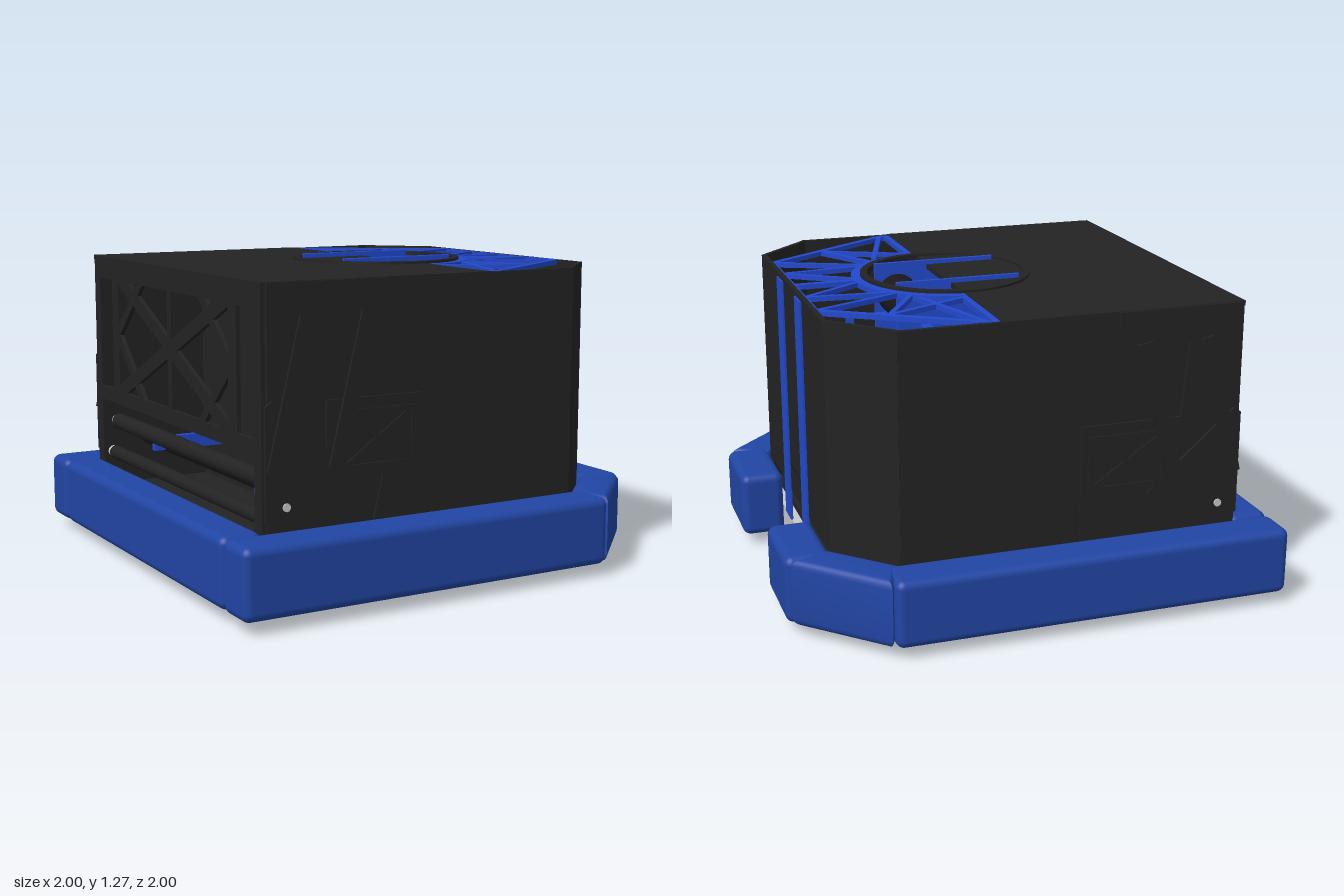
import * as THREE from 'three';
import { RoundedBoxGeometry } from 'three/addons/geometries/RoundedBoxGeometry.js';
import { toCreasedNormals } from 'three/addons/utils/BufferGeometryUtils.js';

export function createModel() {
  const model = new THREE.Group();
  const material = (name, color) => Object.assign(new THREE.MeshStandardMaterial({ color }), { name });
  const black = material('black panel', 0x232323);
  const dark = material('dark rubber', 0x191919);
  const blue = material('bright blue', 0x2249cc);
  const fabric = material('bumper blue', 0x2145a3);
  const silver = material('silver metal', 0xc8c8c8);

  function add(name, geometry, mat, x = 0, y = 0, z = 0, parent = model) {
    const mesh = new THREE.Mesh(geometry, mat);
    mesh.name = name;
    mesh.position.set(x, y, z);
    parent.add(mesh);
    return mesh;
  }
  // box given by its extents
  function box(name, mat, x0, x1, y0, y1, z0, z1, parent = model) {
    return add(name, new THREE.BoxGeometry(x1 - x0, y1 - y0, z1 - z0), mat,
      (x0 + x1) / 2, (y0 + y1) / 2, (z0 + z1) / 2, parent);
  }
  const polygon = (pts) => new THREE.Shape(pts.map(([x, y]) => new THREE.Vector2(x, y)));
  const extrude = (shape, depth, extra = {}) =>
    new THREE.ExtrudeGeometry(shape, { depth, bevelEnabled: false, curveSegments: 32, ...extra });
  // flat outline in x,z, with its top at y and going down by depth
  const slab = (name, mat, shape, y, depth) =>
    add(name, extrude(shape, depth).rotateX(Math.PI / 2), mat, 0, y, 0);
  // straight bar in the local x,y plane of a group
  function bar(name, mat, [ax, ay], [bx, by], width, depth, parent) {
    const m = add(name, new THREE.BoxGeometry(Math.hypot(bx - ax, by - ay) + width * 0.6, width, depth),
      mat, (ax + bx) / 2, (ay + by) / 2, 0, parent);
    m.rotation.z = Math.atan2(by - ay, bx - ax);
    return m;
  }
  function group(name) {
    const g = new THREE.Group();
    g.name = name;
    model.add(g);
    return g;
  }

  // Bumpers
  const rounded = (x0, x1, z0, z1) => add('bumper', new RoundedBoxGeometry(x1 - x0, 0.28, z1 - z0, 4, 0.035),
    fabric, (x0 + x1) / 2, 0.19, (z0 + z1) / 2);
  rounded(-1, -0.825, -0.81, 0.81);
  for (const s of [1, -1]) {
    rounded(-1, 0.65, s > 0 ? 0.815 : -1, s > 0 ? 1 : -0.815);
    rounded(0.815, 1, s > 0 ? 0.275 : -0.65, s > 0 ? 0.65 : -0.275);
    const corner = polygon([[0.585, 0.82], [0.66, 0.98], [0.98, 0.66], [0.82, 0.585]].map(([x, z]) => [x, s * z]));
    const g = extrude(corner, 0.21, {
      bevelEnabled: true, bevelSize: 0.035, bevelThickness: 0.035, bevelOffset: -0.035, bevelSegments: 4,
    }).rotateX(Math.PI / 2);
    add('cornerBumper', toCreasedNormals(g, 0.7), fabric, 0, 0.295, 0);
  }

  // Chassis: belly pan, silver frame and inner deck
  const footprint = (i) => polygon([[-0.82 + i, -0.81 + i], [0.58 - i * 0.5, -0.81 + i], [0.81 - i, -0.58 + i * 0.5],
    [0.81 - i, 0.58 - i * 0.5], [0.58 - i * 0.5, 0.81 - i], [-0.82 + i, 0.81 - i]]);
  slab('bellyPan', dark, footprint(0.01), 0.055, 0.013);
  const frame = footprint(0);
  frame.holes.push(footprint(0.09));
  slab('chassisFrame', silver, frame, 0.165, 0.11);
  slab('innerDeck', black, footprint(0.03), 0.21, 0.03);
  box('frontCrossBar', blue, 0.7, 0.73, 0.235, 0.26, -0.4, 0.4);

  // Wheels
  for (const x of [-0.66, 0.54]) for (const z of [-0.66, 0.66]) {
    add('wheel', new THREE.CylinderGeometry(0.09, 0.09, 0.11, 28).rotateX(Math.PI / 2), dark, x, 0.092, z);
    add('wheelHub', new THREE.CylinderGeometry(0.065, 0.065, 0.116, 24).rotateX(Math.PI / 2), silver, x, 0.092, z);
  }

  // Outer walls
  const walls = group('walls');
  for (const s of [1, -1]) {
    box('sideWall', black, -0.815, 0.58, 0.17, 1.25, s * 0.81 - 0.01, s * 0.81 + 0.01, walls);
    const wall = add('cornerWall', new THREE.BoxGeometry(0.325, 1.08, 0.018), black, 0.69, 0.71, s * 0.69, walls);
    wall.rotation.y = s * Math.PI / 4;
    box('frontStrip', blue, 0.808, 0.818, 0.17, 1.235, s * 0.175 - 0.053, s * 0.175 + 0.053);
  }
  box('frontWall', black, 0.79, 0.81, 0.31, 1.25, -0.585, 0.585, walls);
  box('frontSeam', dark, 0.809, 0.814, 0.43, 0.436, -0.1, 0.1, walls);

  // Solid half of the roof
  box('roof', black, -0.835, 0.175, 1.232, 1.252, -0.82, 0.82);

  // Side plates, slanted bars and bracket frames
  for (const s of [1, -1]) {
    const g = group('sideDetails');
    g.position.z = s * 0.828;
    const put = (name, pts, z, depth, mat = black) =>
      add(name, extrude(polygon(pts), depth), mat, 0, 0, s * z - depth / 2, g);
    put('lowerPlate', [[-0.83, 0.37], [-0.48, 0.37], [-0.44, 0.41], [-0.43, 0.5], [-0.8, 0.82], [-0.83, 0.8]], 0.006, 0.012);
    put('upperPlate', [[-0.815, 0.8], [-0.57, 0.8], [-0.6, 1.12], [-0.56, 1.165], [-0.3, 1.165], [-0.3, 1.25], [-0.815, 1.25]], -0.004, 0.012);
    put('rearSlantBar', [[-0.83, 0.56], [-0.775, 0.55], [-0.63, 1.12], [-0.69, 1.135]], 0.025, 0.01);
    put('frontSlantBar', [[-0.57, 0.56], [-0.515, 0.55], [-0.365, 1.12], [-0.43, 1.135]], 0.025, 0.01);
    put('bracketPlate', [[-0.57, 0.5], [-0.15, 0.5], [-0.15, 0.805], [-0.57, 0.805]], 0.002, 0.01);
    const c = [[-0.5, 0.54], [-0.19, 0.54], [-0.19, 0.75], [-0.5, 0.75]];
    for (const [a, b] of [[0, 1], [1, 2], [2, 3], [3, 0], [0, 2], [1, 3]]) {
      bar('bracketRib', black, c[a], c[b], 0.022, 0.008, g).position.z = s * 0.009;
    }
    put('lowerBrace', [[-0.36, 0.33], [-0.15, 0.33], [-0.15, 0.5], [-0.32, 0.5]], -0.006, 0.008);
    add('bolt', new THREE.CylinderGeometry(0.016, 0.016, 0.008, 16).rotateX(Math.PI / 2), silver, -0.745, 0.42, s * 0.014, g);
  }

  // Rear lattice panel
  const rear = group('rearLattice');
  rear.rotation.y = -Math.PI / 2;
  rear.position.x = -0.825;
  const link = (a, b, w) => bar('latticeBar', black, a, b, w, 0.018, rear);
  link([-0.78, 0.64], [0.78, 0.64], 0.06);
  link([-0.78, 1.2], [0.78, 1.2], 0.09);
  link([0, 0.64], [0, 1.2], 0.04);
  for (const s of [1, -1]) {
    link([s * 0.785, 0.3], [s * 0.785, 1.22], 0.06);
    link([s * 0.58, 0.64], [s * 0.58, 1.2], 0.07);
    link([0, 0.92], [s * 0.56, 1.18], 0.06);
    link([0, 0.92], [s * 0.56, 0.66], 0.06);
    link([s * 0.28, 0.65], [s * 0.56, 0.92], 0.04);
    link([s * 0.28, 1.18], [s * 0.56, 0.92], 0.04);
  }
  // Rear rollers and inner structure
  for (const [x, y, r, mat] of [[-0.78, 0.36, 0.03, black], [-0.76, 0.5, 0.035, black], [-0.62, 0.42, 0.035, dark]]) {
    add('roller', new THREE.CylinderGeometry(r, r, 1.5, 16).rotateX(Math.PI / 2), mat, x, y, 0);
    for (const s of [1, -1]) {
      add('rollerCap', new THREE.CylinderGeometry(0.025, 0.025, 0.03, 12).rotateX(Math.PI / 2), silver, x, y, s * 0.765);
    }
  }
  box('innerWall', black, -0.32, -0.3, 0.2, 1.23, -0.79, 0.79);
  for (const z of [-0.5, 0.5]) box('innerRail', blue, -0.7, -0.33, 0.4, 0.46, z - 0.015, z + 0.015);

  // Blue roof truss
  const cx = 0.145;
  const truss = group('roofTruss');
  truss.rotation.x = Math.PI / 2;
  truss.position.y = 1.24;
  const beam = (a, b, w = 0.022) => bar('trussBar', blue, a, b, w, 0.02, truss);
  beam([0.797, -0.43], [0.797, 0.43], 0.026);
  beam([0.8, 0], [0.5, 0], 0.03);
  for (const s of [1, -1]) {
    const P = (x, z) => [x, s * z];
    beam(P(0.188, 0.38), P(0.188, 0.785), 0.026);
    beam(P(0.19, 0.79), P(0.225, 0.79), 0.026);
    beam(P(0.225, 0.785), P(0.795, 0.42), 0.028);
    beam(P(0.225, 0.78), P(0.36, 0.36));
    beam(P(0.2, 0.41), P(0.54, 0.57));
    beam(P(0.54, 0.57), P(0.38, 0.3));
    beam(P(0.79, 0.42), P(0.43, 0.26));
    beam(P(0.79, 0.21), P(0.44, 0.24));
    beam(P(0.79, 0.21), P(0.51, 0.02));
  }
  const band = new THREE.Shape();
  band.absarc(cx, 0, 0.395, -1.5, 1.5, false);
  band.absarc(cx, 0, 0.352, 1.5, -1.5, true);
  slab('trussArc', blue, band, 1.251, 0.022);

  // Turret: ring, well, side plates and drum
  const ring = new THREE.Shape().absarc(cx, 0, 0.357, 0, Math.PI * 2);
  ring.holes.push(new THREE.Path().absarc(cx, 0, 0.328, 0, Math.PI * 2));
  slab('turretRing', black, ring, 1.262, 0.03);
  add('turretFloor', new THREE.CylinderGeometry(0.35, 0.35, 0.02, 48), black, cx, 0.9, 0);
  for (const s of [1, -1]) {
    add('turretPlate', new RoundedBoxGeometry(0.53, 0.36, 0.01, 2, 0.004), blue, 0.143, 1.092, s * 0.175);
    box('turretTab', blue, 0.28, 0.32, 0.92, 1.1, s * 0.25 - 0.025, s * 0.25 + 0.025);
    box('innerBrace', blue, 0.23, 0.38, 0.8, 0.83, s * 0.59 - 0.01, s * 0.59 + 0.01);
    box('innerPost', blue, 0.42, 0.45, 0.6, 0.95, s * 0.52 - 0.02, s * 0.52 + 0.02);
  }
  box('turretLink', blue, 0.4, 0.46, 1.08, 1.1, -0.016, 0.016);
  add('drum', new THREE.CylinderGeometry(0.087, 0.087, 0.28, 32).rotateX(Math.PI / 2), dark, 0.315, 1.14, 0);
  add('drumShaft', new THREE.CylinderGeometry(0.02, 0.02, 0.33, 16).rotateX(Math.PI / 2), silver, 0.315, 1.14, 0);

  // Curved guides below the truss
  for (const [r, y] of [[0.6, 0.75], [0.65, 0.7]]) {
    const guide = new THREE.Shape();
    guide.absarc(cx, 0, r, -1.35, 1.35, false);
    guide.absarc(cx, 0, r - 0.03, 1.35, -1.35, true);
    slab('curvedGuide', dark, guide, y, 0.15);
  }
  return model;
}
